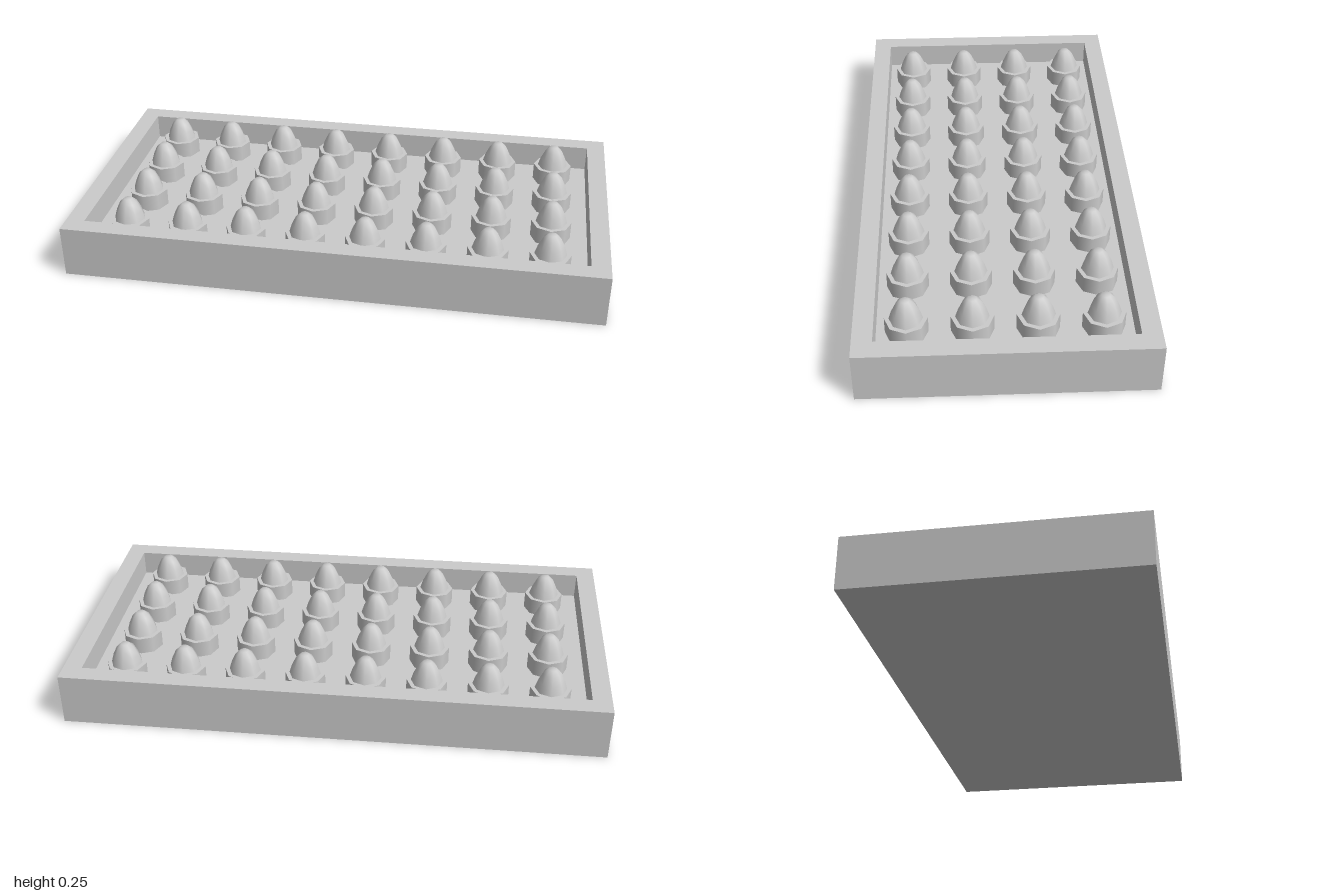
import * as THREE from 'three';

const material = new THREE.MeshStandardMaterial({ color: 0xcccccc });

function add(parent, name, geometry, x = 0, y = 0, z = 0) {
  const mesh = new THREE.Mesh(geometry, material);
  mesh.name = name;
  mesh.position.set(x, y, z);
  parent.add(mesh);
  return mesh;
}

function rectangle(path, w, d) {
  path.moveTo(-w, -d);
  path.lineTo(w, -d);
  path.lineTo(w, d);
  path.lineTo(-w, d);
  path.closePath();
  return path;
}

export function createModel() {
  const model = new THREE.Group();
  model.name = 'eggTray';

  const halfW = 1, halfD = 0.515, wall = 0.07, height = 0.198, floorY = 0.1;
  const cupTop = 0.165;

  // Tray: a rectangular rim with a floor set inside it
  const outline = rectangle(new THREE.Shape(), halfW, halfD);
  outline.holes.push(rectangle(new THREE.Path(), halfW - wall, halfD - wall));
  const rim = new THREE.ExtrudeGeometry(outline, { depth: height, bevelEnabled: false });
  rim.rotateX(-Math.PI / 2);
  add(model, 'trayWalls', rim);
  add(model, 'trayFloor',
    new THREE.BoxGeometry(2 * (halfW - wall), floorY, 2 * (halfD - wall)), 0, floorY / 2, 0);

  // Shared eight-sided cup and smooth tapering dome
  const cup = new THREE.CylinderGeometry(0.075, 0.075, cupTop - floorY, 8);
  const profile = [[0.059, cupTop], [0.049, 0.198], [0.033, 0.232], [0.016, 0.248], [0, 0.248]];
  const dome = new THREE.LatheGeometry(profile.map(([r, y]) => new THREE.Vector2(r, y)), 8);

  // Eight by four grid of cups, each holding a dome
  const spacing = 0.226;
  for (let row = 0; row < 4; row++) {
    for (let col = 0; col < 8; col++) {
      const cell = new THREE.Group();
      cell.name = `cell_${row + 1}_${col + 1}`;
      cell.position.set((col - 3.5) * spacing, 0, (row - 1.5) * spacing);
      add(cell, 'cup', cup, 0, (cupTop + floorY) / 2, 0);
      add(cell, 'dome', dome);
      model.add(cell);
    }
  }
  return model;
}
